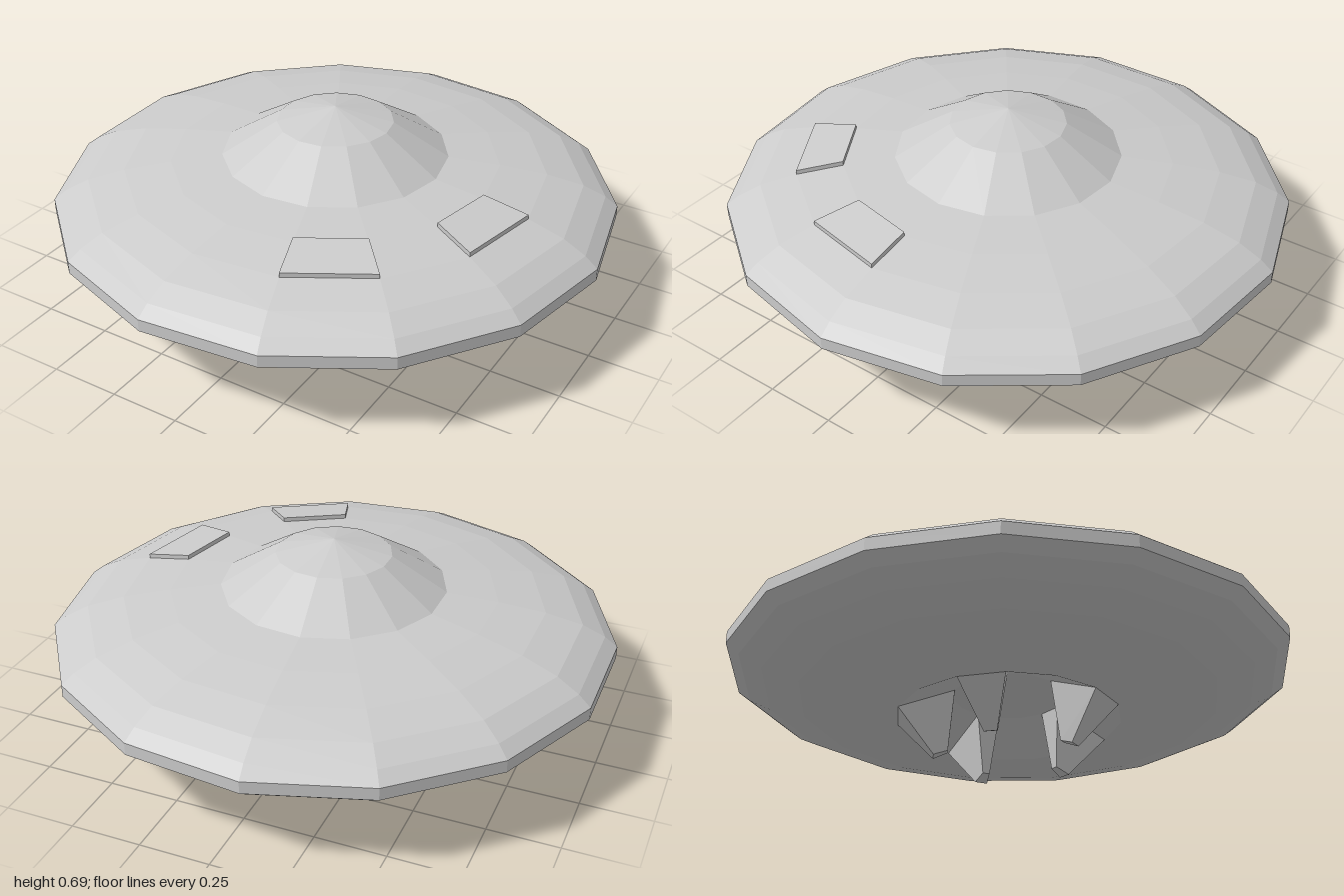
import * as THREE from 'three';

const SIDES = 15;
const STEP = (Math.PI * 2) / SIDES;

const material = new THREE.MeshStandardMaterial({ color: 0xcccccc, flatShading: true });

// Corner pair lying on the facet edges: [distance out, height, half width]
const onFacet = (radius, y) => [radius * Math.cos(STEP / 2), y, radius * Math.sin(STEP / 2)];

// Six-sided block in the middle of a hull facet, given its four corner pairs
function facetBlock(name, facet, { topOuter, topInner, lowOuter, lowInner }) {
  const geometry = new THREE.BoxGeometry(1, 1, 1);
  const p = geometry.attributes.position;
  for (let i = 0; i < p.count; i++) {
    const outer = p.getX(i) > 0;
    const pair = p.getY(i) > 0 ? (outer ? topOuter : topInner) : (outer ? lowOuter : lowInner);
    p.setXYZ(i, pair[0], pair[1], Math.sign(p.getZ(i)) * pair[2]);
  }
  geometry.computeVertexNormals();
  const mesh = new THREE.Mesh(geometry, material);
  mesh.name = name;
  mesh.rotation.y = -(facet + 0.5) * STEP;
  return mesh;
}

export function createModel() {
  const model = new THREE.Group();
  model.name = 'flyingSaucer';

  // Hull: hollow underside, lower shell, rim, upper shell and dome
  const profile = [
    [0, 0.27], [0.2, 0.238], [0.402, 0.15],
    [0.58, 0.172], [0.75, 0.2], [0.88, 0.235], [0.96, 0.275],
    [1.0055, 0.31], [1.0055, 0.354],
    [0.96, 0.39], [0.88, 0.43], [0.75, 0.465], [0.584, 0.491],
    [0.402, 0.512], [0.206, 0.635], [0, 0.685],
  ].map(([r, y]) => new THREE.Vector2(r, y));
  const hull = new THREE.Mesh(new THREE.LatheGeometry(profile, SIDES, Math.PI / 2), material);
  hull.name = 'hull';
  model.add(hull);

  // Raised hatches on two upper facets
  for (const facet of [0, 2]) {
    model.add(facetBlock('hatch', facet, {
      topOuter: onFacet(0.75, 0.481),
      topInner: onFacet(0.584, 0.507),
      lowOuter: onFacet(0.75, 0.46),
      lowInner: onFacet(0.584, 0.485),
    }));
  }

  // Five tapered landing legs, one on every third facet of the hollow
  const legs = new THREE.Group();
  legs.name = 'landingLegs';
  for (let facet = 0; facet < SIDES; facet += 3) {
    legs.add(facetBlock('leg', facet, {
      topOuter: onFacet(0.402, 0.15),
      topInner: onFacet(0.2, 0.238),
      lowOuter: [0.265, 0, 0.023],
      lowInner: [0.215, 0.02, 0.013],
    }));
  }
  model.add(legs);

  // Centre the odd-sided outline on x
  for (const part of model.children) part.position.x = -0.011;
  return model;
}
